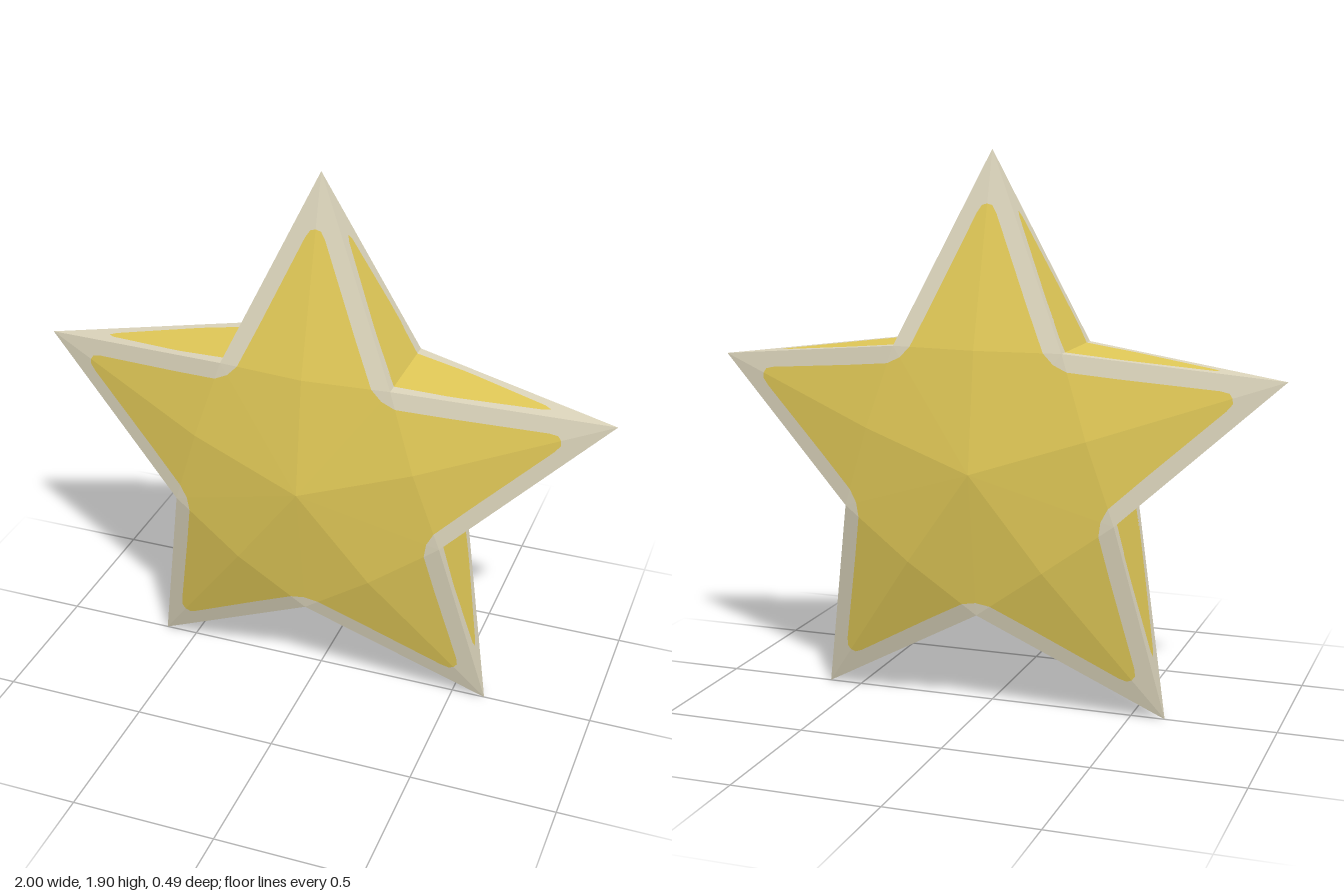
import * as THREE from 'three';

const TIP = 1.0515, INNER = 0.5, CENTRE_Y = 0.851;
const MID = INNER * Math.cos(Math.PI / 5);   // distance at which an arm leaves the body
const HALF = INNER * Math.sin(Math.PI / 5);  // half width of an arm at its root
const Z_CENTRE = 0.245, Z_RIDGE = 0.19, Z_INNER = 0.165;

// Thickness of the star at u along an arm and v across it
function height(u, v) {
  const across = (Z_INNER - Z_RIDGE) * v / HALF;
  if (u <= MID) return Z_CENTRE + (Z_RIDGE - Z_CENTRE) * u / MID + across;
  return Z_RIDGE * (TIP - u) / (TIP - MID) + across;
}

// Adds a polygon as a triangle fan, optionally reversed
function fan(out, points, flip) {
  for (let i = 1; i < points.length - 1; i++) {
    const tri = [points[0], points[i], points[i + 1]];
    if (flip) tri.reverse();
    tri.forEach((p) => out.push(...p));
  }
}

export function createModel() {
  const gold = new THREE.MeshStandardMaterial({ color: 0xe0c857, flatShading: true });
  gold.name = 'gold';
  const cream = new THREE.MeshStandardMaterial({ color: 0xdbd4bb, flatShading: true });
  cream.name = 'cream';

  // Outline of the gold area on half an arm, from the ridge end to the notch
  const edge = [[0.875, 0], [0.87, 0.018], [0.845, 0.034], [0.55, 0.165], [MID, 0.232]];
  const notch = [0.368, 0.368 * Math.tan(Math.PI / 5)];
  const inner = [MID, HALF], ridge = [MID, 0], tip = [TIP, 0];
  const faceGold = [[[0, 0], ridge, edge[4], notch], [ridge, ...edge]];
  const faceCream = [[notch, edge[4], inner], [tip, inner, ...[...edge].reverse()]];

  // Side walls: t runs from notch to tip, w across the thickness
  const wallEdge = [[0, 0.125], [0.08, 0.122], [0.3, 0.085], [0.66, 0.015], [0.69, 0]];
  const wallCream = [[1, 0], [0, Z_INNER], ...wallEdge];
  const wallGold = [[0, 0], ...[...wallEdge].reverse()];

  const parts = { faceCentre: [], faceBorder: [], sidePanels: [], sideBorder: [] };
  for (let arm = 0; arm < 5; arm++) {
    const a = Math.PI / 2 + arm * Math.PI * 2 / 5, c = Math.cos(a), s = Math.sin(a);
    const place = (u, v, z) => [u * c - v * s, CENTRE_Y + u * s + v * c, z];
    for (const side of [1, -1]) {
      for (const face of [1, -1]) {
        const onFace = ([u, v]) => place(u, side * v, face * height(u, v));
        const onWall = ([t, w]) => place(MID + t * (TIP - MID), side * HALF * (1 - t), face * w);
        faceGold.forEach((p) => fan(parts.faceCentre, p.map(onFace), side * face < 0));
        faceCream.forEach((p) => fan(parts.faceBorder, p.map(onFace), side * face < 0));
        fan(parts.sidePanels, wallGold.map(onWall), side * face > 0);
        fan(parts.sideBorder, wallCream.map(onWall), side * face > 0);
      }
    }
  }

  const group = new THREE.Group();
  group.name = 'star';
  for (const [name, positions] of Object.entries(parts)) {
    const geometry = new THREE.BufferGeometry();
    geometry.setAttribute('position', new THREE.Float32BufferAttribute(positions, 3));
    geometry.computeVertexNormals();
    const mesh = new THREE.Mesh(geometry, name.endsWith('Border') ? cream : gold);
    mesh.name = name;
    group.add(mesh);
  }
  return group;
}
